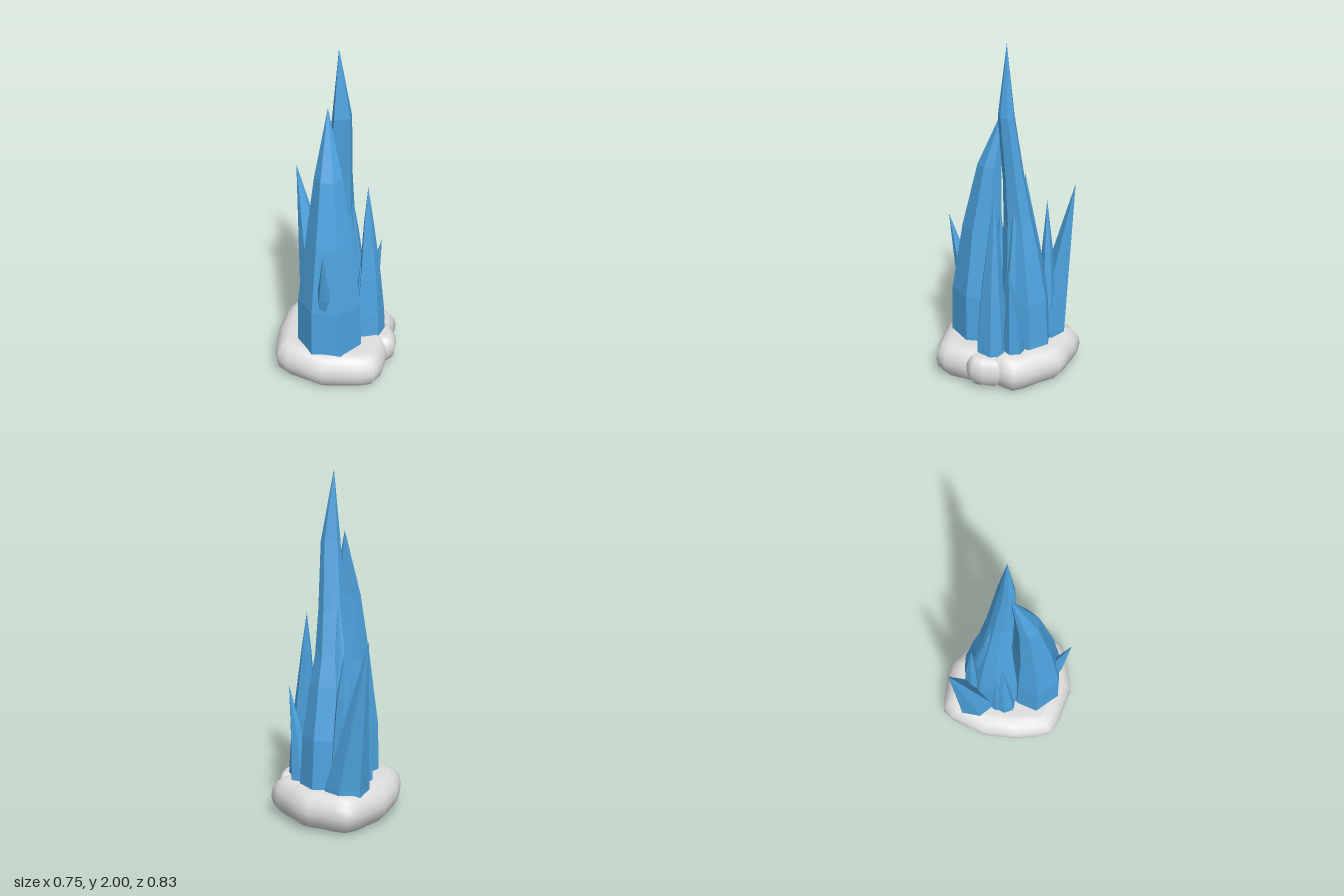
import * as THREE from 'three';

const ice = new THREE.MeshStandardMaterial({ color: 0x4da3df });
ice.name = 'iceBlue';
ice.flatShading = true;
const snow = new THREE.MeshStandardMaterial({ color: 0xdedede });
snow.name = 'snowWhite';

// Skin a stack of equal-length rings of [x, y, z], closing both ends with a point
function loft(rings, bottom, top) {
  const n = rings[0].length;
  const pos = [...rings.flat(), bottom, top].flat();
  const lo = rings.length * n, hi = lo + 1, last = lo - n;
  const idx = [];
  for (let i = 0; i < n; i++) {
    const j = (i + 1) % n;
    for (let r = 0; r < rings.length - 1; r++) {
      const a = r * n + i, b = r * n + j, c = b + n, d = a + n;
      idx.push(a, d, c, a, c, b);
    }
    idx.push(lo, i, j, last + i, hi, last + j);
  }
  const geo = new THREE.BufferGeometry();
  geo.setAttribute('position', new THREE.Float32BufferAttribute(pos, 3));
  geo.setIndex(idx);
  geo.computeVertexNormals();
  return geo;
}

// Make every footprint run the same way round
function orient(p) {
  let area = 0;
  p.forEach(([x, z], i) => {
    const [u, v] = p[(i + 1) % p.length];
    area += x * v - u * z;
  });
  return area > 0 ? p : [...p].reverse();
}

function middle(p) {
  const xs = p.map(q => q[0]), zs = p.map(q => q[1]);
  return [(Math.min(...xs) + Math.max(...xs)) / 2, (Math.min(...zs) + Math.max(...zs)) / 2];
}

// Crystal: a footprint shrinking and leaning towards its tip; steps are [y, scale, lean, shift in x]
function crystal(name, footprint, tip, steps) {
  const p = orient(footprint), [cx, cz] = middle(p);
  const rings = steps.map(([y, s, t, dx = 0]) => p.map(([x, z]) => [
    cx + dx + (tip[0] - cx) * t + (x - cx) * s, y, cz + (tip[2] - cz) * t + (z - cz) * s]));
  const mesh = new THREE.Mesh(loft(rings, [cx, steps[0][0], cz], tip), ice);
  mesh.name = name;
  return mesh;
}

function polygon(cx, cz, rx, rz, sides) {
  return Array.from({ length: sides }, (_, i) => {
    const a = (i + 0.3) / sides * Math.PI * 2;
    return [cx + rx * Math.cos(a), cz + rz * Math.sin(a)];
  });
}

// Soft snow mound: outline with a rounded rim; profile is [height fraction, inset]
function mound(name, outline, y0, y1, round) {
  const p = orient(outline), [cx, cz] = middle(p);
  const profile = [[0, 1.5], [0, 1], [0.08, 0.55], [0.28, 0.12], [0.5, 0], [0.72, 0.1], [0.92, 0.5], [1, 1], [1, 1.5]];
  const rings = profile.map(([h, inset]) => p.map(([x, z]) => {
    const r = Math.hypot(x - cx, z - cz), s = (r - inset * round) / r;
    return [cx + (x - cx) * s, y0 + (y1 - y0) * h, cz + (z - cz) * s];
  }));
  const mesh = new THREE.Mesh(loft(rings, [cx, y0, cz], [cx, y1, cz]), snow);
  mesh.name = name;
  return mesh;
}

export function createModel() {
  const g = new THREE.Group();
  g.name = 'iceCrystals';

  // Snow base and its side lobe
  g.add(mound('snowBase', [
    [-0.11, -0.42], [-0.03, -0.405], [0.07, -0.37], [0.12, -0.36], [0.18, -0.33], [0.25, -0.24],
    [0.33, -0.15], [0.37, -0.08], [0.34, 0], [0.31, 0.04], [0.30, 0.14], [0.285, 0.21],
    [0.24, 0.35], [0.19, 0.405], [0.11, 0.415], [-0.12, 0.4], [-0.32, 0.275], [-0.37, 0.22],
    [-0.375, 0.15], [-0.37, 0.08], [-0.363, 0], [-0.305, -0.2], [-0.17, -0.38]], 0, 0.215, 0.08));
  g.add(mound('snowLobe', [
    [0.2, 0], [0.29, -0.005], [0.335, 0.005], [0.352, 0.1], [0.335, 0.175], [0.28, 0.21], [0.2, 0.18]],
    0.03, 0.205, 0.045));

  // Two tall central crystals
  g.add(crystal('mainCrystal', [
    [-0.02, -0.25], [0.11, -0.253], [0.195, -0.15], [0.15, 0.0], [0.05, 0.06], [-0.16, 0.055],
    [-0.185, -0.1], [-0.13, -0.2]], [0.01, 2, 0.008],
  [[0.12, 1, 0], [0.5, 0.9, 0.05], [0.8, 0.68, 0.22], [0.97, 0.53, 0.36], [1.22, 0.39, 0.6, 0.01],
    [1.6, 0.29, 1, 0.018]]));
  g.add(crystal('frontCrystal', [
    [-0.245, 0.15], [-0.17, 0.305], [0, 0.343], [0.13, 0.235], [0.13, 0.1], [0.03, 0.01], [-0.17, 0.04]],
  [-0.05, 1.66, 0.015],
  [[0.12, 1, 0], [0.5, 0.95, 0], [0.9, 0.69, 0.12], [1.28, 0.42, 0.4]]));

  // Medium crystals around them
  g.add(crystal('leftCrystal', [
    [0.1, 0.05], [0.1, 0.17], [0.14, 0.17], [0.24, 0.155], [0.29, 0.065], [0.26, 0], [0.17, -0.03]],
  [0.172, 1.18, 0.055],
  [[0.12, 1, 0], [0.35, 0.88, 0.05], [0.6, 0.64, 0.15], [0.95, 0.29, 0.7]]));
  g.add(crystal('backCrystal', [
    [-0.215, -0.2], [-0.16, -0.1], [0, -0.18], [0.04, -0.26], [-0.05, -0.33], [-0.17, -0.31]],
  [-0.218, 1.11, -0.363], [[0.12, 1, 0], [0.24, 0.97, 0.02]]));
  g.add(crystal('leftSpike', polygon(0.2, -0.06, 0.06, 0.065, 6), [0.266, 0.77, -0.037],
    [[0.12, 1, 0], [0.3, 0.9, 0.08], [0.52, 0.55, 0.4]]));
  g.add(crystal('frontSpike', polygon(-0.09, 0.275, 0.045, 0.05, 6), [-0.102, 0.93, 0.367],
    [[0.49, 0.7, 0], [0.6, 0.9, 0.15]]));

  // Small filler spikes: centre x, z, radii, tip, height of the shoulder
  [
    ['backSpike', -0.05, -0.225, 0.06, 0.05, [-0.08, 1.06, -0.213], 0.75],
    ['innerBackSpike', -0.03, -0.19, 0.06, 0.06, [-0.025, 1.25, -0.09], 0.8],
    ['rightSpike', -0.185, -0.03, 0.04, 0.06, [-0.165, 0.92, -0.05], 0.5],
    ['rightBackSpike', -0.165, -0.08, 0.035, 0.045, [-0.17, 0.75, -0.09], 0.45],
    ['innerSpike', 0.04, 0.05, 0.065, 0.06, [0.03, 1.05, 0.04], 0.65],
    ['sideSpike', 0.12, -0.03, 0.07, 0.06, [0.07, 1.23, -0.05], 0.7],
    ['lowSpike', 0.13, 0.11, 0.05, 0.06, [0.13, 0.7, 0.1], 0.4],
  ].forEach(([name, x, z, rx, rz, tip, shoulder]) => g.add(crystal(name,
    polygon(x, z, rx, rz, 6), tip, [[0.12, 1, 0], [shoulder * 0.55, 0.95, 0.1], [shoulder, 0.65, 0.5]])));

  return g;
}
